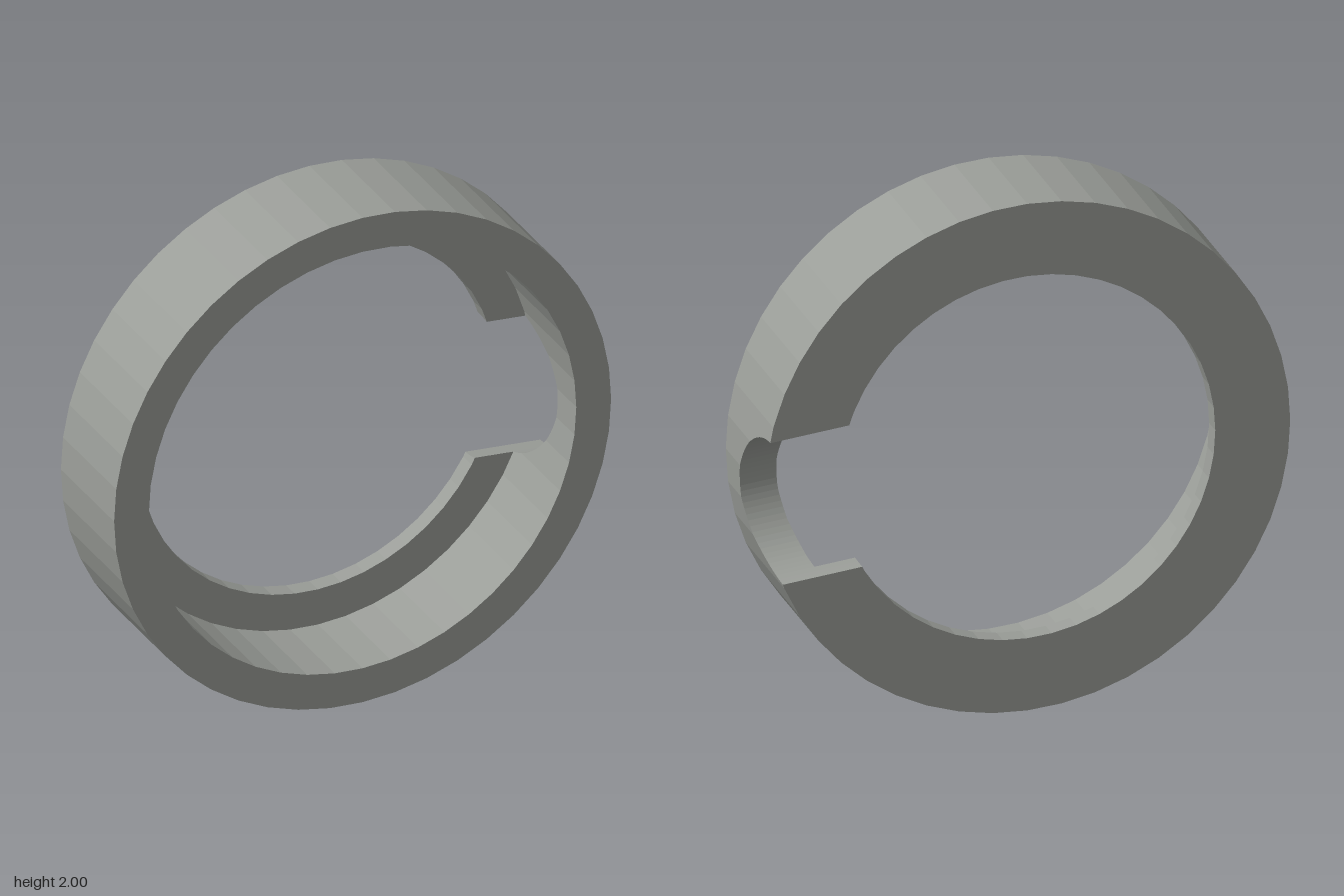
import * as THREE from 'three';

const STEP = Math.PI / 24;            // 48-sided ring
const HALF = 0.213;                   // half of the ring depth
const LEDGE = -0.145;                 // front of the rear lip
const OUTER = 1, WALL = 0.86, LIP = 0.715;
const CUT = 0.284;                    // radius of the round side notch
const AXIS = -5 * Math.PI / 180;      // direction of the notch

// Point on the 48-sided outline at a given angle
function at(r, a, z) {
  const m = ((a % STEP) + STEP) % STEP;
  const d = r * Math.cos(STEP / 2) / Math.cos(m - STEP / 2);
  return [d * Math.cos(a), d * Math.sin(a), z];
}

// Sideways distance of a point from the notch axis
const sideways = ([x, y]) => y * Math.cos(AXIS) - x * Math.sin(AXIS);

// Angle where the outline lies v to the side of the notch axis
function angleFor(r, v) {
  let a = AXIS + Math.asin(v / r);
  for (let i = 0; i < 12; i++) {
    const p = at(r, a, 0);
    a = AXIS + Math.asin(v / Math.hypot(p[0], p[1]));
  }
  return a;
}

// Back edge height of a surface after the notch is taken out
function backZ(r, a, z) {
  const v = sideways(at(r, a, 0));
  if (Math.cos(a - AXIS) < 0 || Math.abs(v) >= CUT) return z;
  return Math.max(z, -HALF + Math.sqrt(CUT * CUT - v * v));
}

// Stations round the notch, including where it meets the ledge
const meet = Math.asin((LEDGE + HALF) / CUT);
const LEDGE_V = CUT * Math.cos(meet);
const stations = [meet, Math.PI - meet];
for (let i = 0; i <= 40; i++) stations.push(i * Math.PI / 40);
stations.sort((a, b) => a - b);

function quads(list) {
  const pos = [];
  for (const [a, b, c, d] of list) pos.push(...a, ...b, ...c, ...a, ...c, ...d);
  const g = new THREE.BufferGeometry();
  g.setAttribute('position', new THREE.Float32BufferAttribute(pos, 3));
  g.computeVertexNormals();
  return g;
}

// Wall round the ring; gap leaves out the part within that distance of the axis
function wall(r, front, back, inward, gap = 0) {
  const angles = stations.map(t => angleFor(r, CUT * Math.cos(t)));
  for (let k = -24; k <= 24; k++) angles.push(k * STEP);
  angles.sort((a, b) => a - b);
  const lo = angleFor(r, -gap), hi = angleFor(r, gap);
  const list = [];
  for (let i = 0; i + 1 < angles.length; i++) {
    const a = angles[i], b = angles[i + 1], mid = (a + b) / 2;
    if (b - a < 1e-6 || (gap && mid > lo && mid < hi)) continue;
    const q = [at(r, a, front), at(r, a, backZ(r, a, back)),
      at(r, b, backZ(r, b, back)), at(r, b, front)];
    list.push(inward ? q.reverse() : q);
  }
  return quads(list);
}

// Outline points from one side of the notch round to the other
function arc(r, v) {
  const lo = angleFor(r, v), hi = angleFor(r, -v) + 2 * Math.PI;
  const angles = [lo];
  for (let k = 0; k <= 48; k++) if (k * STEP > lo && k * STEP < hi) angles.push(k * STEP);
  angles.push(hi);
  return angles.map(a => new THREE.Vector2(...at(r, a, 0)));
}

// Flat C-shaped face, open at the notch
function openFace(r1, r2, v, z, facesBack) {
  const g = new THREE.ShapeGeometry(new THREE.Shape([...arc(r1, v), ...arc(r2, v).reverse()]));
  if (facesBack) {
    g.index.array.reverse();
    g.computeVertexNormals();
  }
  return g.translate(0, 0, z);
}

export function createModel() {
  const model = new THREE.Group();
  model.name = 'notchedRing';
  const grey = new THREE.MeshStandardMaterial({ color: 0x9a9d98 });
  grey.name = 'grey';
  const add = (name, geometry) => {
    const mesh = new THREE.Mesh(geometry, grey);
    mesh.name = name;
    mesh.position.y = 1;
    model.add(mesh);
  };

  // Walls
  add('outerWall', wall(OUTER, HALF, -HALF, false));
  add('innerWall', wall(WALL, HALF, LEDGE, true));
  add('lipWall', wall(LIP, LEDGE, -HALF, true, LEDGE_V));

  // Front rim
  const loop = r => Array.from({ length: 48 }, (_, k) => new THREE.Vector2(...at(r, k * STEP, 0)));
  const rim = new THREE.Shape(loop(OUTER));
  rim.holes.push(new THREE.Path(loop(WALL)));
  add('frontRim', new THREE.ShapeGeometry(rim).translate(0, 0, HALF));

  // Ledge inside and flat back
  add('innerLedge', openFace(WALL, LIP, LEDGE_V, LEDGE, false));
  add('backFace', openFace(OUTER, LIP, CUT, -HALF, true));

  // Round side notch through wall and lip
  const notch = [];
  for (let i = 0; i + 1 < stations.length; i++) {
    const s = stations[i], t = stations[i + 1];
    const inner = -HALF + CUT * Math.sin((s + t) / 2) < LEDGE ? LIP : WALL;
    const p = (r, u) => at(r, angleFor(r, CUT * Math.cos(u)), -HALF + CUT * Math.sin(u));
    notch.push([p(OUTER, s), p(OUTER, t), p(inner, t), p(inner, s)]);
  }
  add('sideNotch', quads(notch));

  return model;
}
